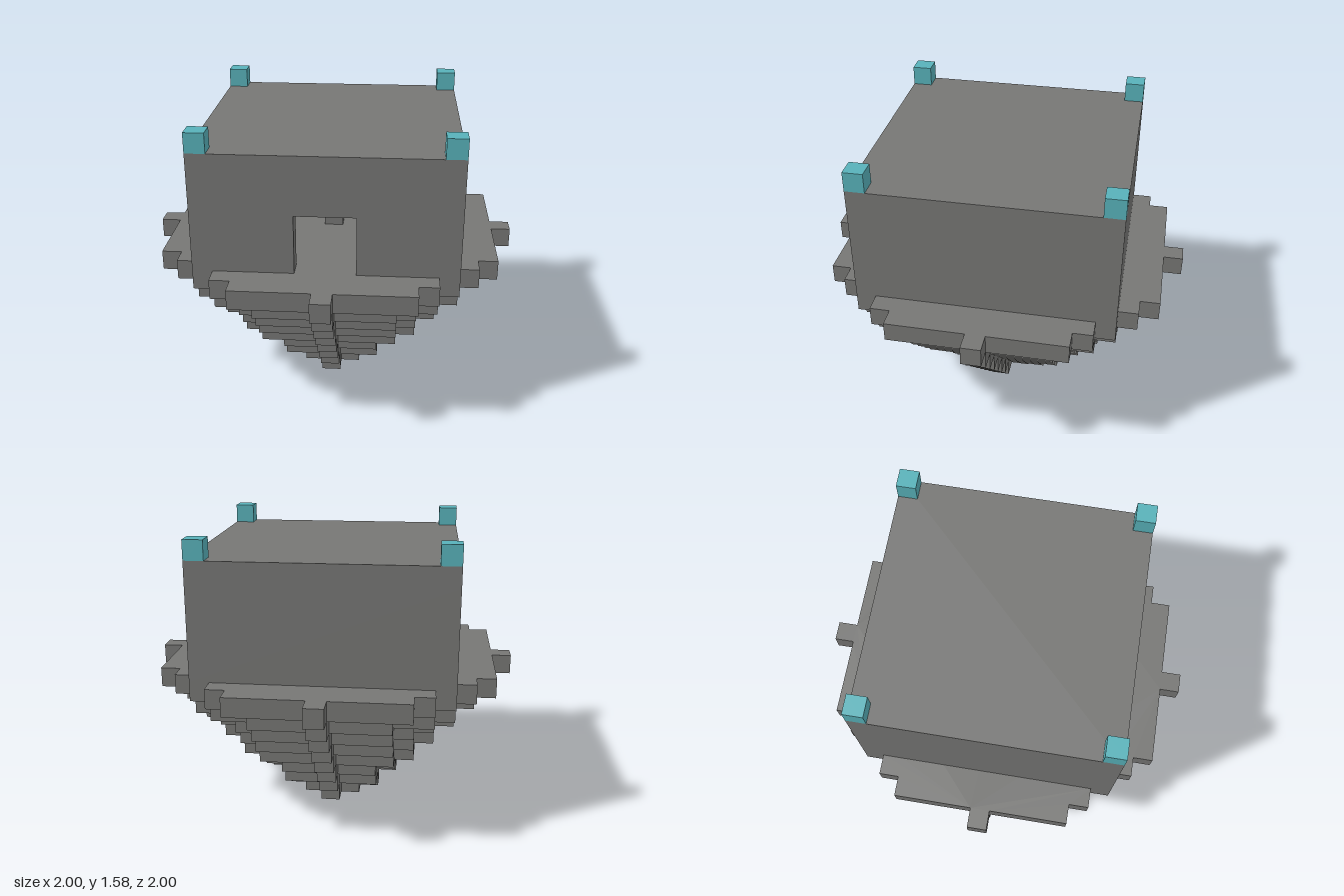
import * as THREE from 'three';

const U = 2 / 19; // one block

export function createModel() {
  const stone = new THREE.MeshStandardMaterial({ color: 0x767674 });
  stone.name = 'grey stone';
  const crystal = new THREE.MeshStandardMaterial({ color: 0x58b1b9 });
  crystal.name = 'teal crystal';

  const model = new THREE.Group();
  model.name = 'floatingTemple';

  const add = (parent, name, geometry, material, x, y, z) => {
    const mesh = new THREE.Mesh(geometry, material);
    mesh.name = name;
    mesh.position.set(x * U, y * U, z * U);
    parent.add(mesh);
  };
  const box = (parent, name, material, w, h, d, x, y, z) =>
    add(parent, name, new THREE.BoxGeometry(w * U, h * U, d * U), material, x, y, z);
  const extrude = (points, depth) => new THREE.ExtrudeGeometry(
    new THREE.Shape(points.map(([x, y]) => new THREE.Vector2(x * U, y * U))),
    { depth: depth * U, bevelEnabled: false });

  // Stepped outline of a disc of blocks with the given radius
  const discOutline = (r) => {
    let quarter = [];
    let width = r + 0.5;
    for (let row = 1; row <= r; row++) {
      const w = Math.floor(Math.sqrt(r * r - row * row)) + 0.5;
      if (w !== width) quarter.push([width, row - 0.5], [w, row - 0.5]);
      width = w;
    }
    quarter.push([0.5, r + 0.5]);
    const outline = [];
    for (let i = 0; i < 4; i++) {
      outline.push(...quarter);
      quarter = quarter.map(([x, y]) => [-y, x]);
    }
    return outline;
  };

  // Island: one disc per layer, growing by one block upward
  const island = new THREE.Group();
  island.name = 'island';
  model.add(island);
  for (let layer = 0; layer < 8; layer++) {
    const disc = extrude(discOutline(layer + 2), 1).rotateX(-Math.PI / 2);
    add(island, `islandLayer${layer + 1}`, disc, stone, 0, layer, 0);
  }

  // Hollow hall with a doorway in the front wall
  const hall = new THREE.Group();
  hall.name = 'hall';
  model.add(hall);
  const front = [[-6.5, 0], [-1.5, 0], [-1.5, 3], [1.5, 3], [1.5, 0], [6.5, 0], [6.5, 5], [-6.5, 5]];
  add(hall, 'frontWall', extrude(front, 1), stone, 0, 8, 5.5);
  box(hall, 'backWall', stone, 13, 5, 1, 0, 10.5, -6);
  box(hall, 'leftWall', stone, 1, 5, 11, 6, 10.5, 0);
  box(hall, 'rightWall', stone, 1, 5, 11, -6, 10.5, 0);
  box(hall, 'roof', stone, 13, 1, 13, 0, 13.5, 0);
  box(hall, 'pedestal', stone, 1, 1, 1, 0, 8.5, 0);

  // Corner lamps on the roof
  for (const x of [-6, 6]) {
    for (const z of [-6, 6]) box(model, 'cornerLamp', crystal, 1, 1, 1, x, 14.5, z);
  }
  return model;
}
